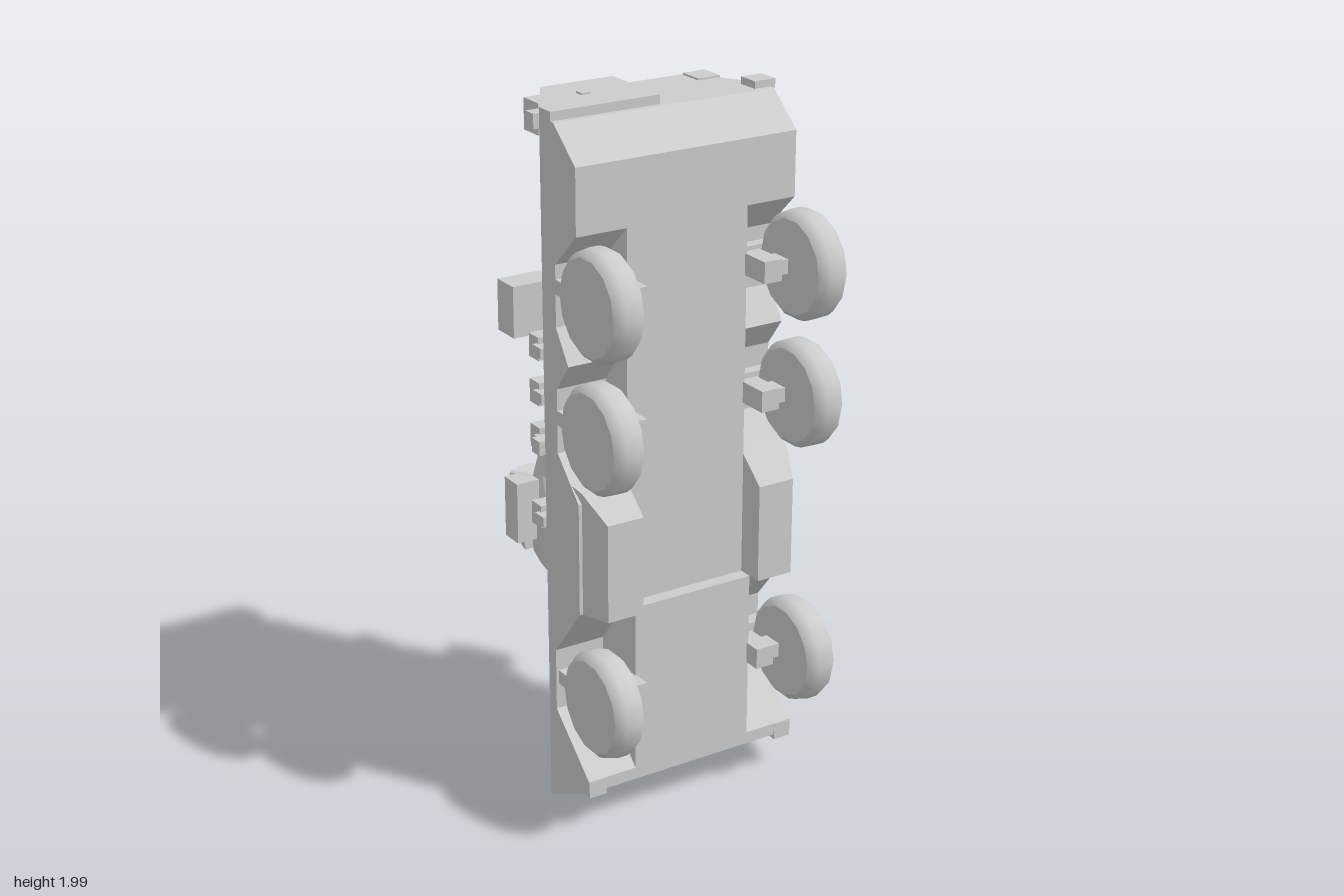
import * as THREE from 'three';
import { ConvexGeometry } from 'three/addons/geometries/ConvexGeometry.js';

// The vehicle stands on its nose: y runs to its rear, -z is its roof, +z its belly.
export function createModel() {
  const model = new THREE.Group();
  const paint = new THREE.MeshStandardMaterial({ color: 0xcccccc });
  paint.name = 'light grey paint';

  const add = (name, geometry, parent = model) => {
    const mesh = new THREE.Mesh(geometry, paint);
    mesh.name = name;
    parent.add(mesh);
    return mesh;
  };
  // Box given by its bounds
  const box = (name, x0, x1, y0, y1, z0, z1, parent) => {
    const g = new THREE.BoxGeometry(x1 - x0, y1 - y0, z1 - z0);
    g.translate((x0 + x1) / 2, (y0 + y1) / 2, (z0 + z1) / 2);
    return add(name, g, parent);
  };
  const boxPair = (name, x0, x1, ...rest) => {
    box(name, x0, x1, ...rest);
    box(name, -x1, -x0, ...rest);
  };
  // Side profile of [z, y] points extruded across x
  const prism = (name, points, x0, x1) => {
    const shape = new THREE.Shape(points.map(([z, y]) => new THREE.Vector2(z, y)));
    const g = new THREE.ExtrudeGeometry(shape, { depth: x1 - x0, bevelEnabled: false });
    g.rotateY(-Math.PI / 2).translate(x1, 0, 0);
    return add(name, g);
  };
  // Convex solid, symmetric about x = cx, from [halfWidth, y, z] points
  const symmetric = (name, points, cx = 0, parent = model) => add(name, new ConvexGeometry(
    points.flatMap(([x, y, z]) => [new THREE.Vector3(cx + x, y, z), new THREE.Vector3(cx - x, y, z)])), parent);
  const flat = (g) => {
    const f = g.toNonIndexed();
    f.computeVertexNormals();
    return f;
  };
  // Octagonal disc whose axis points out of the roof
  const octagon = (name, x, y, z0, z1, r0, r1 = r0, parent = model) => {
    const g = flat(new THREE.CylinderGeometry(r1, r0, z0 - z1, 8));
    g.rotateY(Math.PI / 8).rotateX(-Math.PI / 2).translate(x, y, (z0 + z1) / 2);
    return add(name, g, parent);
  };

  // Upper hull with sloped glacis and flanks
  symmetric('upperHull', [
    [0.335, 0.01, 0.07], [0.335, 0.028, 0.105], [0.335, 1.96, 0.105],
    [0.335, 1.96, 0.06], [0.225, 1.96, -0.12], [0.225, 0.47, -0.12],
  ]);
  // Belly between the wheels
  prism('belly', [[0.1, 0.026], [0.275, 0.115], [0.275, 0.64], [0.235, 0.64],
    [0.235, 1.87], [0.13, 1.96], [0.1, 1.96]], -0.185, 0.185);
  // Sponsons with wheel wells
  const sponson = [[0.1, 0.026], [0.275, 0.115], [0.275, 0.15], [0.106, 0.3], [0.106, 0.48],
    [0.235, 0.64], [0.235, 0.96], [0.13, 1.07], [0.13, 1.25], [0.19, 1.33], [0.13, 1.42],
    [0.13, 1.59], [0.235, 1.69], [0.235, 1.87], [0.13, 1.96], [0.1, 1.96]];
  prism('leftSponson', sponson, 0.185, 0.335);
  prism('rightSponson', sponson, -0.335, -0.185);

  // Chamfered stowage boxes between the axles
  for (const s of [1, -1]) {
    const corners = [];
    for (const [z, y0, y1, x] of [[0.2, 0.64, 1.0, 0.332], [0.235, 0.64, 0.99, 0.325], [0.315, 0.64, 0.92, 0.295]])
      for (const y of [y0, y1])
        for (const xx of [0.185, x]) corners.push(new THREE.Vector3(s * xx, y, z));
    add('sideStowageBox', new ConvexGeometry(corners));
  }

  // Wheels and axles
  const treadProfile = [[0.13, -0.045], [0.143, -0.034], [0.15, -0.015], [0.15, 0.015], [0.143, 0.034], [0.13, 0.045]]
    .map(([r, h]) => new THREE.Vector2(r, h));
  const wheelNames = ['frontWheel', 'middleWheel', 'rearWheel'];
  [0.405, 1.17, 1.53].forEach((y, i) => {
    for (const s of [1, -1]) {
      const wheel = new THREE.Group();
      wheel.name = wheelNames[i];
      wheel.position.set(s * 0.31, y, 0.315);
      add('tyreTread', new THREE.LatheGeometry(treadProfile, 14).rotateZ(Math.PI / 2), wheel);
      for (const side of [1, -1]) {
        const cap = new THREE.CircleGeometry(0.13, 14);
        cap.rotateY(side * Math.PI / 2).translate(side * 0.045, 0, 0);
        add('wheelFace', cap, wheel);
      }
      model.add(wheel);
    }
    boxPair('axleHousing', 0.18, 0.235, y - 0.03, y + 0.03, 0.22, 0.325);
    boxPair('axleArm', 0.235, 0.28, y - 0.02, y + 0.02, 0.25, 0.31);
    boxPair('wheelWellStop', 0.22, 0.335, y - 0.02, y + 0.02, 0.12, 0.165);
  });

  // Rear door plate and its handle
  const door = new THREE.Shape([[-0.01, 0.115], [-0.01, -0.115], [-0.23, -0.115], [-0.335, 0.06], [-0.335, 0.115]]
    .map(([x, z]) => new THREE.Vector2(x, -z)));
  add('rearDoor', new THREE.ExtrudeGeometry(door, { depth: 0.03, bevelEnabled: false })
    .rotateX(-Math.PI / 2).translate(0, 1.955, 0));
  box('doorHandle', -0.183, -0.155, 1.98, 1.99, -0.014, 0.014);

  // Lamps and fittings at the rear corners and on the flanks
  box('leftTailLamp', 0.285, 0.35, 1.955, 1.98, 0.05, 0.115);
  box('rightTailLamp', -0.352, -0.315, 1.93, 1.97, 0.02, 0.06);
  boxPair('rearCornerBox', 0.21, 0.28, 1.88, 1.965, -0.115, -0.04);
  box('flankRail', 0.305, 0.333, 1.03, 1.95, 0.03, 0.065);
  box('leftFlankBox', 0.29, 0.355, 1.02, 1.11, -0.015, 0.06);
  box('rightFlankBox', -0.35, -0.29, 1.04, 1.08, 0.02, 0.06);
  box('sideLamp', 0.22, 0.29, 1.345, 1.41, -0.115, -0.04);
  for (const y of [0.8, 1.03, 1.16, 1.29]) {
    boxPair('bracket', 0.225, 0.28, y - 0.033, y + 0.033, -0.11, -0.06);
    boxPair('bracketStub', 0.25, 0.293, y - 0.015, y + 0.015, -0.07, -0.025);
  }

  // Roof fittings
  box('roofHatchFrame', -0.17, 0.18, 0.99, 1.35, -0.132, -0.11);
  box('roofHatch', -0.16, 0.17, 1.0, 1.34, -0.143, -0.13);
  box('roofStowageBox', -0.32, -0.19, 1.31, 1.455, -0.205, -0.12);
  octagon('rearHatchBase', 0.135, 1.83, -0.115, -0.143, 0.085);
  octagon('rearHatchLid', 0.135, 1.83, -0.14, -0.16, 0.075, 0.06);

  // Driver's compartment rising from the glacis, and nose lamps
  symmetric('driverCompartment', [[0.11, 0.2, 0.0], [0.1, 0.28, -0.12], [0.21, 0.47, -0.119], [0.2, 0.45, -0.1]], -0.02);
  box('driverHatch', -0.11, 0.07, 0.3, 0.41, -0.132, -0.11);
  boxPair('noseLamp', 0.225, 0.275, 0.07, 0.115, 0.015, 0.05);
  boxPair('towPoint', 0.28, 0.333, 0.1, 0.148, 0.25, 0.277);

  // Turret
  const turret = new THREE.Group();
  turret.name = 'turret';
  model.add(turret);
  octagon('turretRing', 0, 0.66, -0.11, -0.165, 0.215, 0.21, turret);
  symmetric('turretBody', [
    [0.13, 0.46, -0.13], [0.21, 0.58, -0.13], [0.21, 0.78, -0.15], [0.13, 0.875, -0.165],
    [0.08, 0.43, -0.2], [0.215, 0.6, -0.18], [0.215, 0.76, -0.18],
    [0.08, 0.48, -0.285], [0.17, 0.58, -0.3], [0.19, 0.76, -0.3], [0.15, 0.84, -0.28],
  ], 0, turret);
  symmetric('turretBasket', [[0.17, 0.8, -0.23], [0.17, 0.8, -0.302], [0.13, 0.925, -0.23],
    [0.13, 0.955, -0.26], [0.125, 0.955, -0.302]], 0, turret);
  symmetric('turretRoof', [[0.2, 0.59, -0.295], [0.2, 0.775, -0.295], [0.2, 0.6, -0.32],
    [0.2, 0.77, -0.32], [0.19, 0.61, -0.327], [0.19, 0.76, -0.327]], 0, turret);
  for (const s of [1, -1]) {
    const a = s * 0.2, b = s * 0.27;
    box('turretSideBox', Math.min(a, b), Math.max(a, b), 0.66, 0.84, -0.28, -0.21, turret);
    for (const [k, y] of [0.71, 0.79, 0.83].entries()) {
      const tube = add('smokeTube', flat(new THREE.CylinderGeometry(0.013, 0.013, 0.065, 8)), turret);
      tube.position.set(s * (0.195 + k * 0.012), y, -0.275);
      tube.rotation.set(-Math.PI / 2, 0, s * -0.45);
    }
  }

  // Turret hatches, one with its lid open
  octagon('commanderHatchRing', -0.1, 0.69, -0.32, -0.345, 0.068, 0.065, turret);
  octagon('commanderHatchInner', -0.1, 0.69, -0.34, -0.358, 0.055, 0.045, turret);
  octagon('gunnerHatch', 0.095, 0.69, -0.32, -0.345, 0.068, 0.06, turret);
  const lid = add('openHatchLid', flat(new THREE.CylinderGeometry(0.06, 0.06, 0.006, 8).rotateY(Math.PI / 8)), turret);
  lid.position.set(-0.1, 0.755, -0.413);
  lid.rotation.x = 0.26;
  box('sight', 0.05, 0.11, 0.52, 0.56, -0.305, -0.27, turret);

  // Gun pointing down past the nose
  const gunProfile = [[0, 0.005], [0.009, 0.005], [0.009, 0.035], [0.005, 0.04], [0.006, 0.2],
    [0.014, 0.33], [0.021, 0.37], [0.021, 0.5], [0, 0.5]].map(([r, y]) => new THREE.Vector2(r, y));
  const gun = add('gun', flat(new THREE.LatheGeometry(gunProfile, 8)), turret);
  gun.position.set(0.004, 0, -0.242);

  return model;
}
